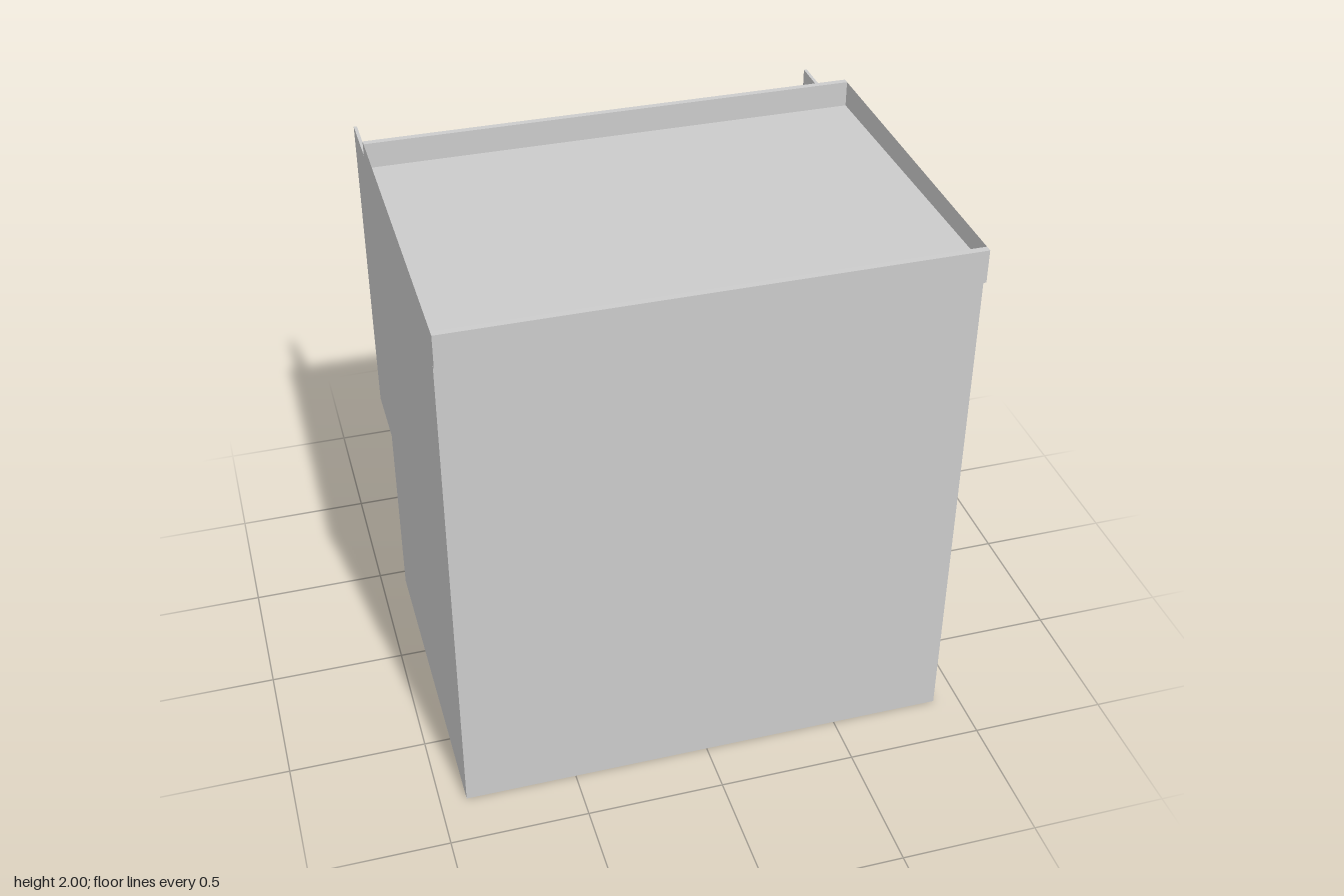
import * as THREE from 'three';

const material = new THREE.MeshStandardMaterial({ color: 0xcccccc, flatShading: true, side: THREE.DoubleSide });

// Box given by its minimum and maximum corners
function box(parent, name, [x0, y0, z0], [x1, y1, z1]) {
  const mesh = new THREE.Mesh(new THREE.BoxGeometry(x1 - x0, y1 - y0, z1 - z0), material);
  mesh.position.set((x0 + x1) / 2, (y0 + y1) / 2, (z0 + z1) / 2);
  mesh.name = name;
  parent.add(mesh);
  return mesh;
}

function group(parent, name) {
  const g = new THREE.Group();
  g.name = name;
  parent.add(g);
  return g;
}

// Rectangular frame with an opening, standing out from the back wall
function frame(parent, name, x0, x1, y0, y1, border, depth) {
  const rect = (Type, m) => new Type([
    new THREE.Vector2(x0 + m, y0 + m), new THREE.Vector2(x1 - m, y0 + m),
    new THREE.Vector2(x1 - m, y1 - m), new THREE.Vector2(x0 + m, y1 - m),
  ]);
  const shape = rect(THREE.Shape, 0);
  shape.holes.push(rect(THREE.Path, border));
  const mesh = new THREE.Mesh(new THREE.ExtrudeGeometry(shape, { depth, bevelEnabled: false }), material);
  mesh.position.z = BACK - depth;
  mesh.name = name;
  parent.add(mesh);
}

const W = 0.905, BACK = -0.44, FRONT = 0.81;

export function createModel() {
  const model = new THREE.Group();
  model.name = 'shopBuilding';

  // Solid body: side profile with a gently sloping roof, extruded across x
  const profile = new THREE.Shape([
    new THREE.Vector2(-FRONT, 0), new THREE.Vector2(-BACK, 0),
    new THREE.Vector2(-BACK, 1.905), new THREE.Vector2(-FRONT, 1.93),
  ]);
  const bodyGeometry = new THREE.ExtrudeGeometry(profile, { depth: 2 * W, bevelEnabled: false });
  bodyGeometry.rotateY(Math.PI / 2).translate(-W, 0, 0);
  const body = new THREE.Mesh(bodyGeometry, material);
  body.name = 'body';
  model.add(body);

  // Parapet: front and back boards, closed by thin sheets at the sides
  const parapet = group(model, 'parapet');
  box(parapet, 'parapetFront', [-W, 1.88, 0.805], [W, 2, 0.83]);
  box(parapet, 'parapetBack', [-W, 1.88, -0.47], [W, 2, -0.447]);
  box(parapet, 'parapetBackFill', [-W, 1.88, -0.447], [W, 1.905, BACK]);
  for (const s of [-1, 1]) {
    const side = new THREE.Mesh(new THREE.PlaneGeometry(1.3, 0.12), material);
    side.rotation.y = s * Math.PI / 2;
    side.position.set(s * W, 1.94, 0.18);
    side.name = 'parapetSide';
    parapet.add(side);
  }

  // Four windows with slim frames and projecting sills
  const windows = group(model, 'windows');
  for (const [y0, y1] of [[1.33, 1.6], [0.905, 1.27]]) {
    for (const s of [-1, 1]) {
      const x0 = Math.min(s * 0.02, s * 0.74), x1 = Math.max(s * 0.02, s * 0.74);
      frame(windows, 'windowFrame', x0, x1, y0, y1, 0.012, 0.007);
      box(windows, 'windowSill', [x0 - 0.008, y0 - 0.007, -0.475], [x1 + 0.008, y0 + 0.003, BACK]);
    }
  }

  // Wide frame near the ground
  frame(model, 'lowerFrame', -0.855, 0.855, 0.03, 0.46, 0.022, 0.04);

  // Upright sign boards held by two brackets at each back corner
  for (const s of [-1, 1]) {
    const sign = group(model, s > 0 ? 'leftSign' : 'rightSign');
    const x = s * 0.885;
    box(sign, 'signBoard', [x - 0.006, 0.65, -0.83], [x + 0.006, 1.88, -0.54]);
    for (const y of [0.668, 1.835]) {
      box(sign, 'signBracket', [x - 0.003, y, -0.54], [x + 0.003, y + 0.027, BACK]);
    }
  }
  return model;
}
